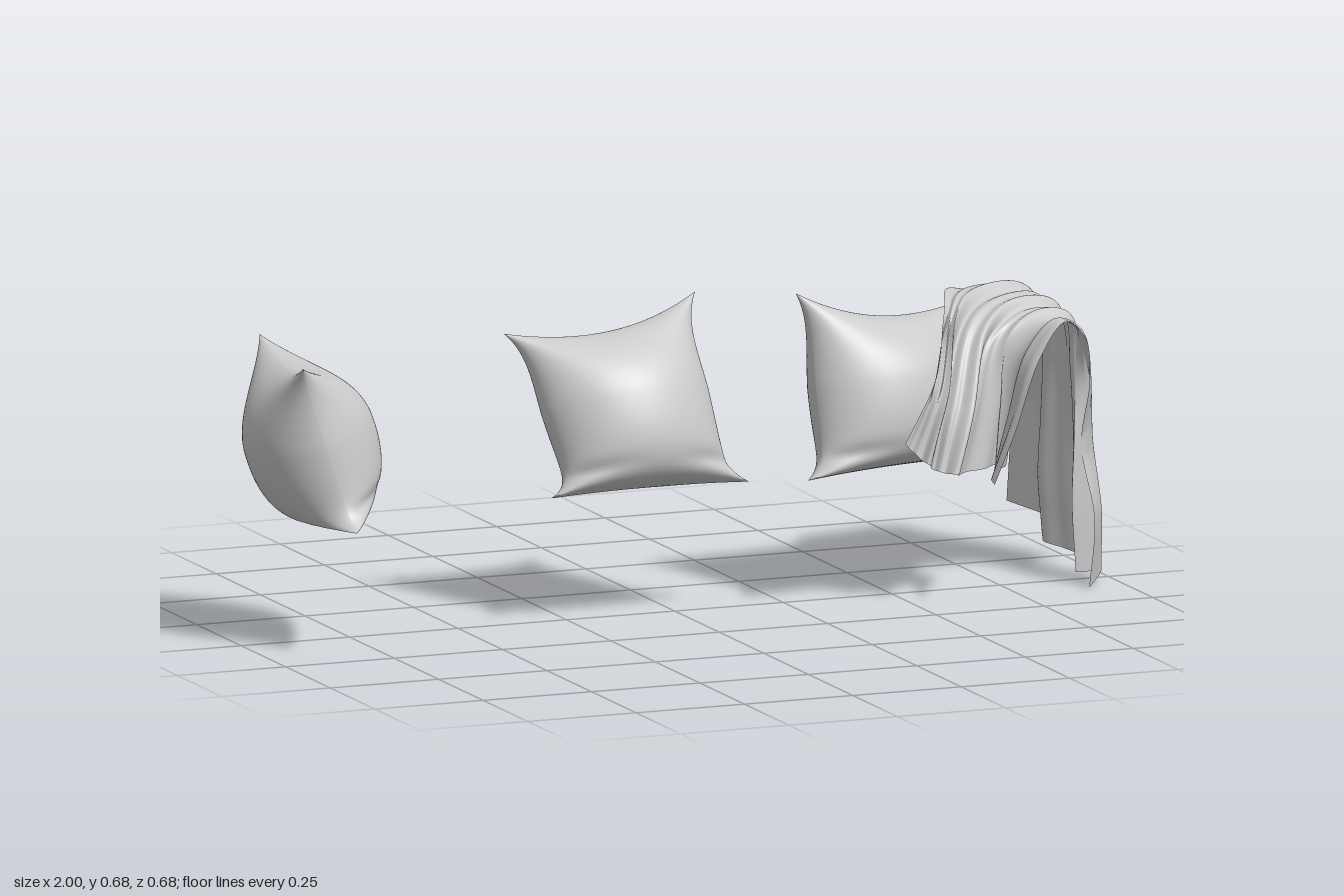
import * as THREE from 'three';
import { mergeGeometries } from 'three/addons/utils/BufferGeometryUtils.js';

const SEAT = 0.285; // height of the surface the pillows rest on
const vec = (p) => new THREE.Vector3(...p);

// One bulging sheet of a pillow; side is 1 for the front, -1 for the back
function pillowSheet([tl, tr, bl, br], half, side) {
  const N = 48;
  const geo = new THREE.PlaneGeometry(2, 2, N, N);
  const pos = geo.attributes.position;
  const right = tr.clone().sub(tl).add(br).sub(bl);
  const up = tl.clone().sub(bl).add(tr).sub(br);
  const normal = right.cross(up).normalize();
  const top = new THREE.Vector3(), p = new THREE.Vector3();
  for (let i = 0; i < pos.count; i++) {
    // denser rows towards the seam
    const u = Math.sin(pos.getX(i) * Math.PI / 2);
    const v = Math.sin(pos.getY(i) * Math.PI / 2);
    // seams pull in between the corners, tightest above the bottom ears
    const pinch = (0.17 + 0.05 * Math.max(0, -v)) * (1 - Math.abs(v) ** (v > 0 ? 4 : 8));
    const a = (u * (1 - pinch) + 1) / 2;
    const b = (v * (1 - (v > 0 ? 0.22 : 0.03) * (1 - u * u)) + 1) / 2;
    top.lerpVectors(tl, tr, a);
    p.lerpVectors(bl, br, a).lerp(top, b);
    // filling sags to the bottom, with short tucks above the ears in front
    const du = Math.max(0, 1 - u * u), dv = Math.max(0, 1 - v * v);
    let h = half * du ** 0.55 * dv ** (v > 0 ? 0.6 : 0.32) * (1 - 0.08 * v);
    if (side > 0) h -= 0.045 * u * u * Math.exp(-(((v + 0.8) / 0.08) ** 2)) * Math.sqrt(du * dv);
    p.addScaledVector(normal, side * h);
    pos.setXYZ(i, p.x, Math.max(SEAT, p.y), p.z);
  }
  if (side < 0) geo.setIndex(Array.from(geo.index.array).reverse());
  geo.computeVertexNormals();
  return geo;
}

function pillow(name, corners, half, material) {
  const c = corners.map(vec);
  const mesh = new THREE.Mesh(
    mergeGeometries([pillowSheet(c, half, 1), pillowSheet(c, half, -1)]), material);
  mesh.name = name;
  return mesh;
}

// Lines running from the seat, over the arm and down outside; front edge to back edge
const drapeLines = [
  [[.60, .29, .335], [.66, .40, .31], [.73, .54, .27], [.80, .612, .24], [.87, .56, .19],
    [.905, .45, .125], [.915, .30, .055], [.925, .15, .105], [.915, 0, .10]],
  [[.695, .285, .09], [.705, .41, .105], [.725, .55, .12], [.79, .605, .12], [.88, .585, .09],
    [.92, .46, .06], [.935, .30, .045], [.945, .15, .04], [.955, .02, .03]],
  [[.57, .29, .21], [.61, .42, .18], [.67, .57, .11], [.77, .618, .04], [.88, .595, 0],
    [.91, .47, -.03], [.93, .30, -.04], [.945, .17, -.05], [.96, .045, -.06]],
  [[.51, .31, .20], [.55, .45, .175], [.62, .60, .07], [.73, .632, -.06], [.87, .608, -.14],
    [.925, .47, -.17], [.95, .33, -.175], [.96, .20, -.18], [.97, .07, -.18]],
  [[.46, .36, .175], [.53, .49, .17], [.60, .61, .05], [.68, .63, -.12], [.79, .585, -.20],
    [.895, .515, -.28], [.905, .40, -.30], [.905, .25, -.32], [.905, .11, -.34]],
];

// Pleated lower hem of the outer side
const hem = new THREE.CatmullRomCurve3([
  [.915, 0, .10], [.945, .008, .06], [.98, .018, .01], [.95, .022, .03], [.905, .025, .045],
  [.93, .03, .01], [.975, .035, -.01], [.935, .05, -.08], [.905, .06, -.14], [.95, .068, -.175],
  [.995, .075, -.18], [.965, .09, -.18], [.945, .098, -.24], [.905, .11, -.34],
].map(vec));

function throwBlanket(material) {
  const NS = 110, NT = 110;
  const lines = drapeLines.map((l) => new THREE.CatmullRomCurve3(l.map(vec)));
  const ends = new THREE.CatmullRomCurve3(lines.map((l) => l.getPoint(1)));
  const geo = new THREE.PlaneGeometry(1, 1, NT, NS);
  const pos = geo.attributes.position;
  for (let j = 0; j <= NS; j++) {
    const across = new THREE.CatmullRomCurve3(lines.map((l) => l.getPoint(j / NS)));
    // pleats of the hem fade out towards the top of the arm
    const pleat = THREE.MathUtils.smoothstep(j / NS, 0.4, 0.9);
    for (let i = 0; i <= NT; i++) {
      const t = i / NT;
      const p = across.getPoint(t);
      p.addScaledVector(hem.getPoint(t).sub(ends.getPoint(t)), pleat);
      pos.setXYZ(j * (NT + 1) + i, p.x, p.y, p.z);
    }
  }
  geo.computeVertexNormals();

  // softer folds run along the lines and deepen towards the seat
  const nor = geo.attributes.normal;
  for (let k = 0; k < pos.count; k++) {
    const s = Math.floor(k / (NT + 1)) / NS, t = (k % (NT + 1)) / NT;
    const inner = THREE.MathUtils.smoothstep(0.4 - s, 0, 0.4);
    const outer = THREE.MathUtils.smoothstep(s, 0.45, 0.8);
    const amp = 0.008 + 0.011 * inner - 0.006 * outer;
    const angle = t * Math.PI * 8 + 0.9 * Math.sin(s * 5) * Math.sin(t * Math.PI);
    const wave = Math.sin(angle + 0.6 * Math.sin(angle)) + 0.3 * Math.sin(angle * 2.3 + s * 4);
    const d = amp * wave * Math.min(1, 8 * t, 8 * (1 - t));
    const x = pos.getX(k) + nor.getX(k) * d;
    const y = pos.getY(k) + nor.getY(k) * d;
    const z = pos.getZ(k) + nor.getZ(k) * d;
    pos.setXYZ(k, Math.min(1, x), Math.max(s < 0.4 ? SEAT : 0, y), z);
  }
  geo.computeVertexNormals();
  const mesh = new THREE.Mesh(geo, material);
  mesh.name = 'throwBlanket';
  return mesh;
}

export function createModel() {
  const group = new THREE.Group();
  group.name = 'pillowsAndThrow';
  const fabric = new THREE.MeshStandardMaterial({ color: 0xcccccc, side: THREE.DoubleSide });

  // corners: top left, top right, bottom left, bottom right, seen from each pillow's front
  group.add(
    pillow('sidePillow', [[-.96, .645, .25], [-.88, .635, -.19], [-.85, .285, .285], [-.77, .285, -.165]], 0.141, fabric),
    pillow('middlePillow', [[-.37, .62, -.06], [.08, .675, -.08], [-.32, .285, .085], [.14, .285, .075]], 0.135, fabric),
    pillow('drapedPillow', [[.27, .675, .02], [.70, .605, -.10], [.26, .285, .115], [.695, .285, 0]], 0.135, fabric),
    throwBlanket(fabric),
  );
  return group;
}
